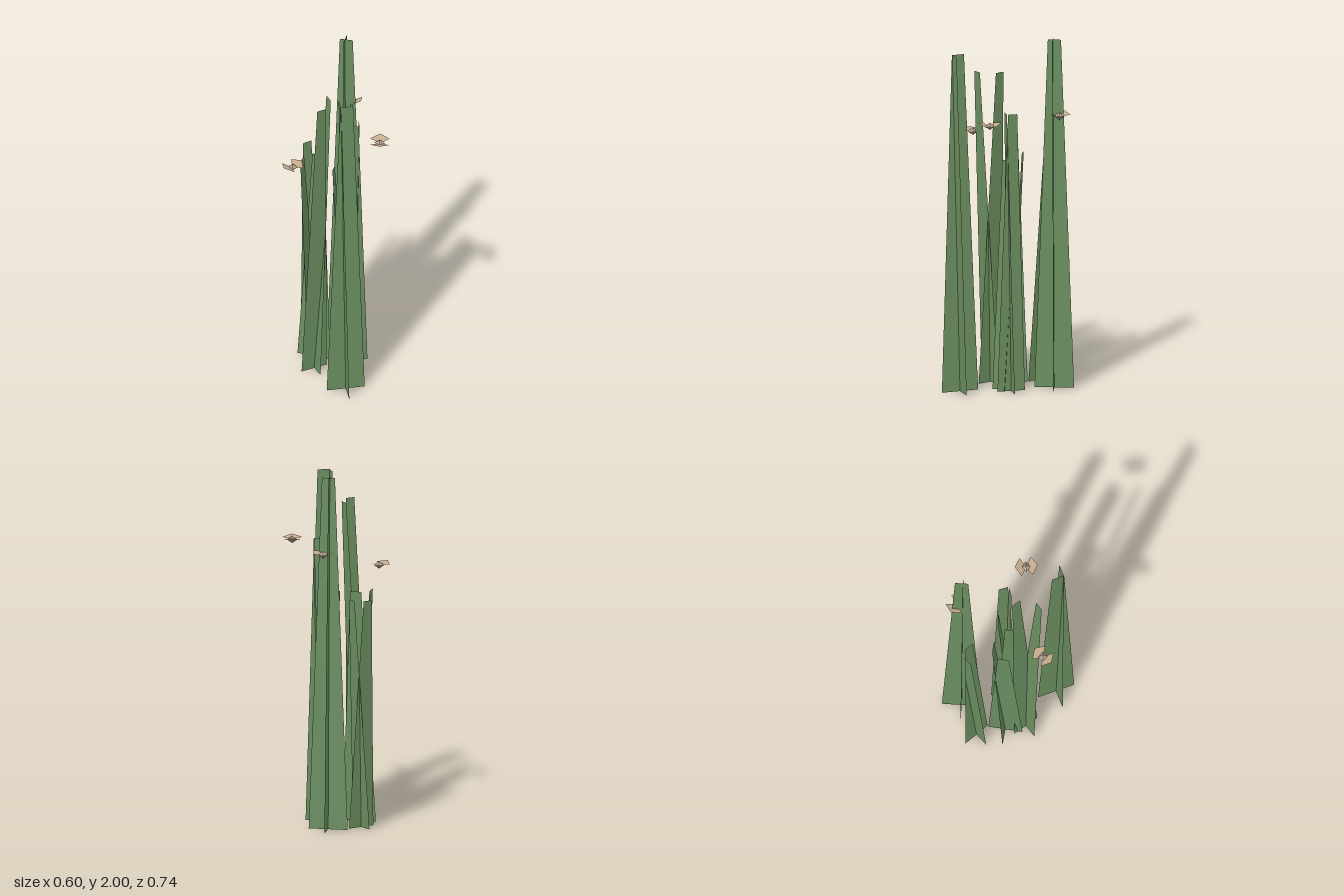
import * as THREE from 'three';

const leafMat = new THREE.MeshStandardMaterial({ color: 0x6b8f60, flatShading: true, side: THREE.DoubleSide });
const wingMat = new THREE.MeshStandardMaterial({ color: 0xc4aa8c, flatShading: true, side: THREE.DoubleSide });
const bodyMat = new THREE.MeshStandardMaterial({ color: 0xb5a391, flatShading: true });

// Flat four-cornered panel
function quad(corners, mat, name) {
  const geo = new THREE.BufferGeometry();
  geo.setAttribute('position', new THREE.Float32BufferAttribute(corners.flat(), 3));
  geo.setIndex([0, 1, 2, 0, 2, 3]);
  geo.computeVertexNormals();
  const mesh = new THREE.Mesh(geo, mat);
  mesh.name = name;
  return mesh;
}

// Tapered blade, standing across x and leaning towards +z
function blade(width, height, lean) {
  const b = width / 2, t = width / 6;
  return quad([[-b, 0, 0], [b, 0, 0], [t, height, lean], [-t, height, lean]], leafMat, 'blade');
}

// Tuft: two crossed blades leaning at right angles to each other
function tuft(x, z, height, width, lean, degrees) {
  const group = new THREE.Group();
  group.name = 'grassTuft';
  for (const turn of [0, 90]) {
    const leaf = blade(width, height, lean);
    leaf.rotation.y = THREE.MathUtils.degToRad(90 - degrees - turn);
    group.add(leaf);
  }
  group.position.set(x, 0, z);
  return group;
}

// Insect: faceted body with two raised diamond wings
function insect(x, y, z, degrees) {
  const group = new THREE.Group();
  group.name = 'insect';
  const body = new THREE.Mesh(new THREE.OctahedronGeometry(0.03), bodyMat);
  body.name = 'body';
  body.scale.y = 0.7;
  group.add(body);
  for (const side of [0, 1]) {
    const wing = quad([[0, -0.003, 0], [0.054, 0.008, 0.031], [0, 0.019, 0.064], [-0.054, 0.008, 0.031]],
      wingMat, side ? 'rightWing' : 'leftWing');
    wing.rotation.y = THREE.MathUtils.degToRad(degrees) + side * Math.PI;
    group.add(wing);
  }
  group.position.set(x, y, z);
  return group;
}

export function createModel() {
  const model = new THREE.Group();
  model.name = 'tallGrassWithInsects';

  // x, z, height, base width, lean, lean heading
  const tufts = [
    [0.0675, 0.268, 1.93, 0.215, 0.033, 72.5],
    [0.011, -0.261, 2.0, 0.221, 0.008, 96.6],
    [-0.13, 0.09, 1.8, 0.157, 0.09, -33.5],
    [-0.168, -0.187, 1.3, 0.163, 0.064, 231.5],
    [-0.145, -0.025, 1.32, 0.193, 0.069, 192.5],
    [0.077, -0.017, 1.6, 0.158, 0.032, -12.1],
    [0.037, 0.012, 1.3, 0.146, 0.069, 188.2],
  ];
  for (const t of tufts) model.add(tuft(...t));

  // x, y, z, wing heading
  const insects = [
    [0.24, 1.568, 0.11, 4],
    [-0.24, 1.415, 0.18, -45],
    [0.037, 1.568, -0.287, 57],
  ];
  for (const i of insects) model.add(insect(...i));
  return model;
}
